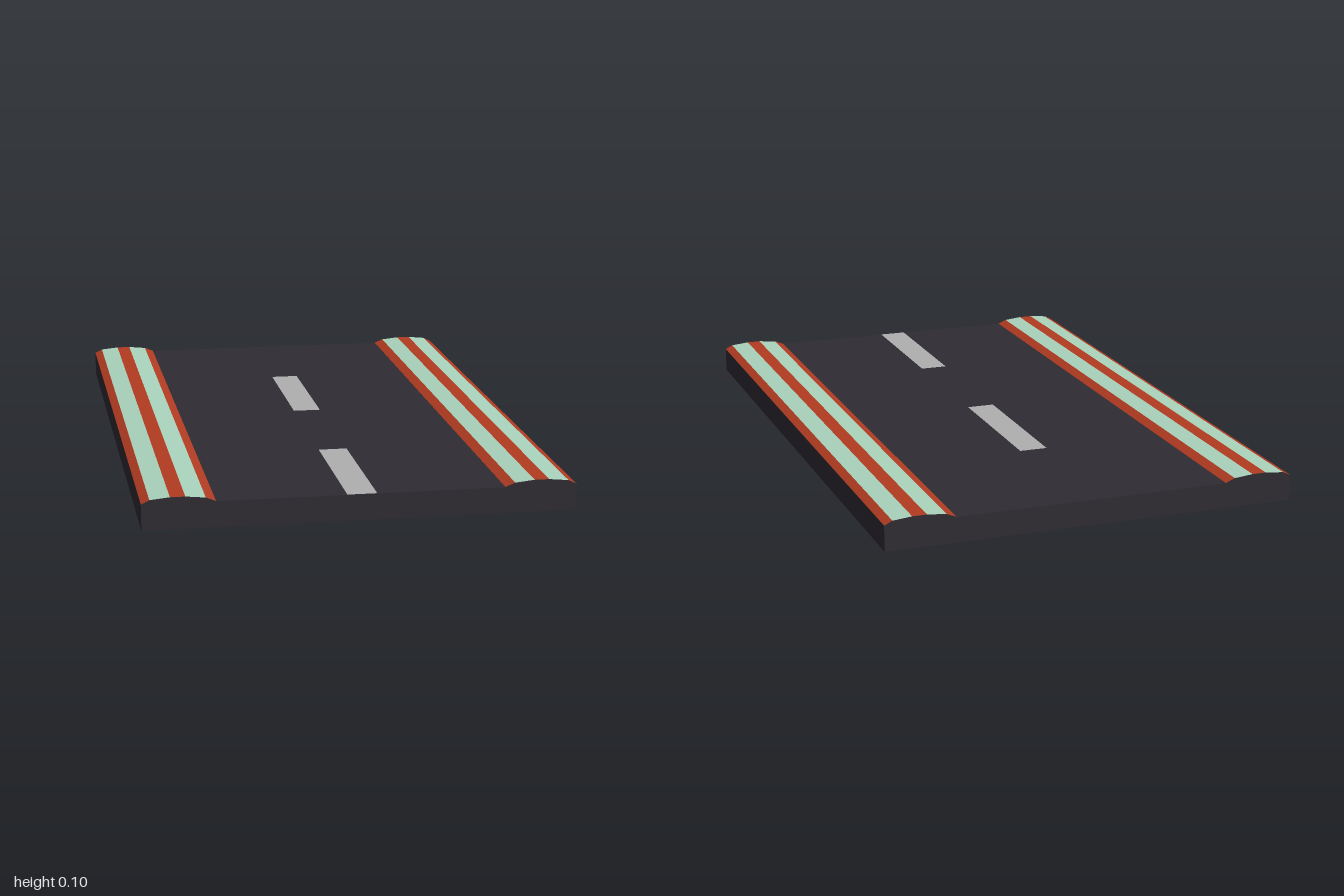
import * as THREE from 'three';

const LENGTH = 2, ROAD_Y = 0.08, LIFT = 0.0008;

// Kerb cross-section from the road edge outwards: [x, y]
const KERB = [[0.435, 0.08], [0.465, 0.092], [0.525, 0.098], [0.57, 0.098], [0.63, 0.092], [0.655, 0.08]];

const paint = (color) => new THREE.MeshStandardMaterial({ color, flatShading: true });

export function createModel() {
  const model = new THREE.Group();
  const asphalt = paint(0x2f2c33), red = paint(0xb33c22), mint = paint(0xabd4bd), white = paint(0xb0b0b0);

  const add = (name, geometry, material, parent = model) => {
    const mesh = new THREE.Mesh(geometry, material);
    mesh.name = name;
    parent.add(mesh);
    return mesh;
  };

  // Road slab with a raised kerb along each side
  const outline = [
    [-0.655, 0], [0.655, 0],
    ...[...KERB].reverse(),
    ...KERB.map(([x, y]) => [-x, y]),
  ].map(([x, y]) => new THREE.Vector2(x, y));
  const slab = new THREE.ExtrudeGeometry(new THREE.Shape(outline), { depth: LENGTH, bevelEnabled: false });
  slab.translate(0, 0, -LENGTH / 2);
  add('roadSlab', slab, asphalt);

  // Painted kerb stripes, one per facet of the kerb
  for (const side of [1, -1]) {
    const kerb = new THREE.Group();
    kerb.name = side > 0 ? 'leftKerbStripes' : 'rightKerbStripes';
    for (let i = 0; i < KERB.length - 1; i++) {
      const [x0, y0] = KERB[i], [x1, y1] = KERB[i + 1];
      const stripe = new THREE.PlaneGeometry(Math.hypot(x1 - x0, y1 - y0), LENGTH);
      stripe.rotateX(-Math.PI / 2);
      stripe.rotateZ(side * Math.atan2(y1 - y0, x1 - x0));
      stripe.translate(side * (x0 + x1) / 2, (y0 + y1) / 2 + LIFT, 0);
      add(i % 2 ? 'mintStripe' : 'redStripe', stripe, i % 2 ? mint : red, kerb);
    }
    model.add(kerb);
  }

  // Dashed centre line
  for (const z of [-0.25, 0.75]) {
    const dash = new THREE.PlaneGeometry(0.09, 0.5);
    dash.rotateX(-Math.PI / 2);
    dash.translate(0, ROAD_Y + LIFT, z);
    add('centreDash', dash, white);
  }

  return model;
}
